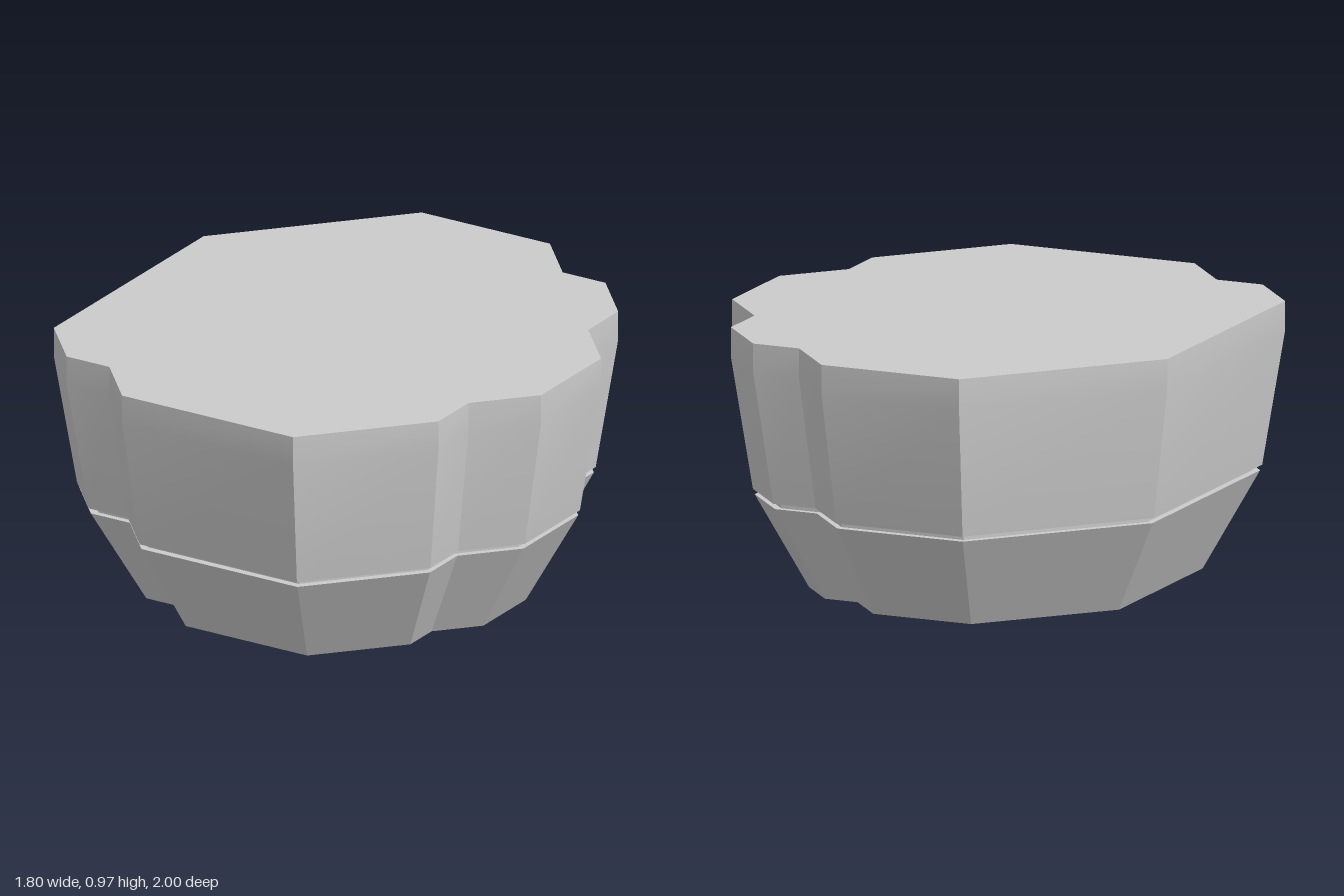
import * as THREE from 'three';
import { toCreasedNormals } from 'three/addons/utils/BufferGeometryUtils.js';

// Plan outline (x, z), clockwise seen from above
const OUTLINE = [
  [-0.36, -1], [0.18, -1], [0.36, -0.8], [0.54, -0.8],
  [0.72, -0.6], [0.72, -0.4], [0.9, -0.2], [0.9, 0.2],
  [0.72, 0.4], [0.72, 0.6], [0.36, 1], [-0.36, 1],
  [-0.54, 0.8], [-0.72, 0.8], [-0.9, 0.6], [-0.9, -0.4],
].map(([x, z]) => new THREE.Vector2(x, z));

// Closed solid through scaled copies of the outline; rings run bottom to top
function loft(rings) {
  const n = OUTLINE.length;
  const positions = [];
  const index = [];
  for (const { y, scale, dx = 0, dz = 0 } of rings) {
    for (const p of OUTLINE) positions.push(p.x * scale + dx, y, p.y * scale + dz);
  }
  // Walls
  for (let r = 0; r < rings.length - 1; r++) {
    for (let i = 0; i < n; i++) {
      const a = r * n + i;
      const b = r * n + ((i + 1) % n);
      index.push(b, a, a + n, b, a + n, b + n);
    }
  }
  // Bottom and top caps
  const last = (rings.length - 1) * n;
  for (const [i, j, k] of THREE.ShapeUtils.triangulateShape(OUTLINE, [])) {
    const u = OUTLINE[j].clone().sub(OUTLINE[i]);
    const v = OUTLINE[k].clone().sub(OUTLINE[i]);
    const [p, q] = u.y * v.x - u.x * v.y > 0 ? [j, k] : [k, j];
    index.push(last + i, last + p, last + q, i, q, p);
  }
  const geometry = new THREE.BufferGeometry();
  geometry.setAttribute('position', new THREE.Float32BufferAttribute(positions, 3));
  geometry.setIndex(index);
  return toCreasedNormals(geometry, 0.4);
}

export function createModel() {
  const group = new THREE.Group();
  group.name = 'facetedBlock';
  const material = new THREE.MeshStandardMaterial({ color: 0xcccccc });
  const add = (name, rings) => {
    const mesh = new THREE.Mesh(loft(rings), material);
    mesh.name = name;
    group.add(mesh);
  };

  // Tapered foot
  add('lowerBody', [
    { y: 0, scale: 0.71, dx: -0.013, dz: 0.01 },
    { y: 0.352, scale: 0.912, dx: -0.004, dz: 0.003 },
  ]);
  // Recessed groove between the two bodies
  add('groove', [
    { y: 0.352, scale: 0.885, dx: -0.004, dz: 0.003 },
    { y: 0.372, scale: 0.885, dx: -0.004, dz: 0.003 },
  ]);
  // Upper body, flaring out to a straight rim
  add('upperBody', [
    { y: 0.372, scale: 0.919, dx: -0.004, dz: 0.003 },
    { y: 0.86, scale: 1 },
    { y: 0.968, scale: 1 },
  ]);
  return group;
}
